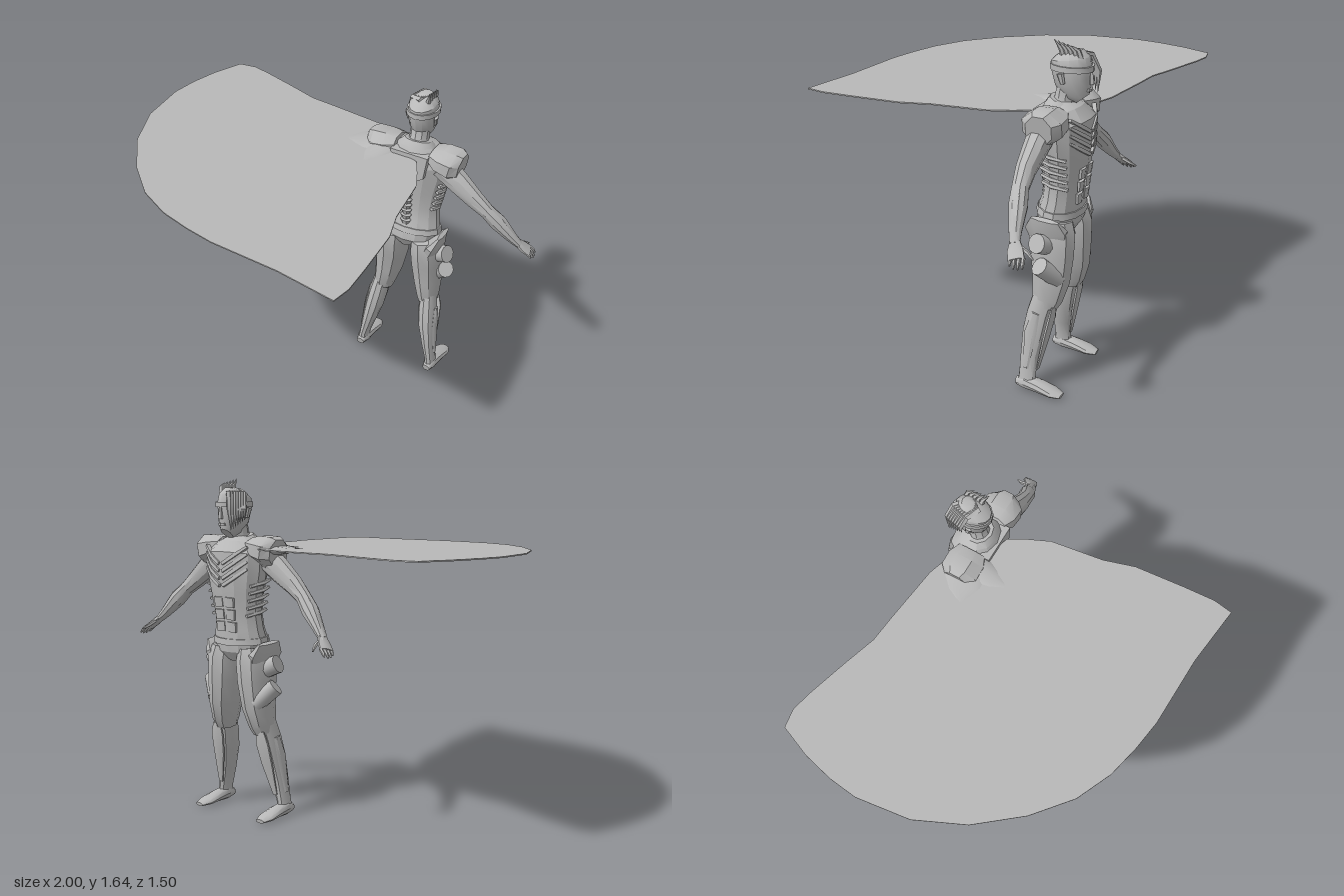
import * as THREE from 'three';
import { toCreasedNormals } from 'three/addons/utils/BufferGeometryUtils.js';

const Z = new THREE.Vector3(0, 0, 1), X = new THREE.Vector3(1, 0, 0);

// Closed skin over elliptical rings [x, y, z, a, b] set square to the path; b runs along ref, a across it.
function loft(rings, n = 10, ref = Z, crease = 0.6) {
  const c = rings.map(r => new THREE.Vector3(r[0], r[1], r[2]));
  const pos = [], idx = [], last = rings.length - 1;
  rings.forEach((r, i) => {
    const t = c[Math.min(i + 1, last)].clone().sub(c[Math.max(i - 1, 0)]).normalize();
    const u = ref.clone().addScaledVector(t, -ref.dot(t)).normalize();
    const w = u.clone().cross(t);
    for (let j = 0; j < n; j++) {
      const q = ((j + 0.5) / n) * Math.PI * 2;
      const p = c[i].clone().addScaledVector(w, r[3] * Math.cos(q)).addScaledVector(u, r[4] * Math.sin(q));
      pos.push(p.x, p.y, p.z);
    }
  });
  pos.push(...c[0].toArray(), ...c[last].toArray());
  const low = rings.length * n, high = low + 1;
  for (let j = 0; j < n; j++) {
    const k = (j + 1) % n;
    for (let i = 0; i < last; i++) {
      const a = i * n + j, b = i * n + k;
      idx.push(a, b, a + n, b, b + n, a + n);
    }
    idx.push(low, k, j, high, last * n + j, last * n + k);
  }
  const g = new THREE.BufferGeometry();
  g.setAttribute('position', new THREE.Float32BufferAttribute(pos, 3));
  g.setIndex(idx);
  return toCreasedNormals(g, crease);
}

export function createModel() {
  const model = new THREE.Group();
  const grey = new THREE.MeshStandardMaterial({ color: 0xb8b8b8 });
  const figure = new THREE.Group();
  figure.name = 'figure';
  figure.position.x = 0.36;
  model.add(figure);

  const add = (name, geo, parent = figure) => {
    const m = new THREE.Mesh(geo, grey);
    m.name = name;
    parent.add(m);
    return m;
  };
  const part = (name, rings, n, ref, crease) => add(name, loft(rings, n, ref, crease));
  // Same part on both sides of the body
  const pair = (name, rings, n, ref, crease) => {
    for (const [s, side] of [[1, 'left'], [-1, 'right']])
      part(side + name, rings.map(([x, ...r]) => [x * s, ...r]), n, ref, crease);
  };

  // Torso, belt and neck
  part('torso', [
    [0, 0.77, -0.46, 0.05, 0.07], [0, 0.82, -0.46, 0.14, 0.1], [0, 0.87, -0.465, 0.155, 0.1],
    [0, 0.93, -0.475, 0.143, 0.09], [0, 1.0, -0.48, 0.135, 0.088], [0, 1.1, -0.485, 0.15, 0.1],
    [0, 1.2, -0.485, 0.175, 0.11], [0, 1.28, -0.48, 0.18, 0.115], [0, 1.33, -0.46, 0.13, 0.09],
    [0, 1.37, -0.455, 0.06, 0.05]], 14, Z, 0.3);
  part('belt', [[0, 0.86, -0.465, 0.163, 0.107], [0, 0.89, -0.468, 0.158, 0.102]], 14);
  part('neck', [[0, 1.33, -0.455, 0.065, 0.06], [0, 1.38, -0.47, 0.048, 0.05], [0, 1.44, -0.48, 0.048, 0.05]], 10);

  // Spine and upper back plate
  for (let i = 0; i < 9; i++) {
    const y = 0.93 + i * 0.032, z = -0.392 + i * 0.002;
    part('vertebra', [[0, y - 0.014, z, 0.02, 0.02], [0, y + 0.008, z + 0.006, 0.03, 0.022], [0, y + 0.015, z, 0.02, 0.018]], 8);
  }
  const plate = new THREE.Shape([[-0.1, 1.34], [-0.085, 1.22], [-0.06, 1.205], [0.06, 1.205], [0.085, 1.22], [0.1, 1.34]]
    .map(p => new THREE.Vector2(...p)));
  add('backPlate', new THREE.ExtrudeGeometry(plate, { depth: 0.05, bevelEnabled: false })).position.z = -0.41;
  part('collar', [[0, 1.32, -0.455, 0.12, 0.09], [0, 1.355, -0.455, 0.095, 0.075], [0, 1.375, -0.46, 0.07, 0.06]], 10);

  // Chest chevrons, side ribs and stomach plates
  for (let i = 0; i < 4; i++) {
    const y = 1.17 + i * 0.035;
    pair('ChestBar', [[0.01, y - 0.03, -0.592, 0.011, 0.014], [0.07, y + 0.005, -0.583, 0.012, 0.014],
      [0.135, y + 0.05, -0.55, 0.008, 0.014]], 4);
  }
  for (let i = 0; i < 5; i++) {
    const y = 1.02 + i * 0.036, x = 0.133 + i * 0.007;
    pair('Rib', [[x - 0.012, y, -0.42, 0.009, 0.012], [x + 0.002, y - 0.01, -0.47, 0.011, 0.012],
      [x - 0.02, y - 0.025, -0.54, 0.008, 0.012]], 5, X);
  }
  for (let i = 0; i < 3; i++) {
    const y = 0.94 + i * 0.06;
    pair('StomachPlate', [[0.035, y - 0.024, -0.561 - i * 0.006, 0.03, 0.01], [0.037, y + 0.024, -0.563 - i * 0.007, 0.032, 0.012]], 6);
  }

  // Head, jaw, visor and ears
  part('head', [
    [0, 1.385, -0.55, 0.03, 0.035], [0, 1.41, -0.53, 0.05, 0.063], [0, 1.46, -0.505, 0.066, 0.085],
    [0, 1.52, -0.495, 0.073, 0.093], [0, 1.56, -0.49, 0.067, 0.088], [0, 1.585, -0.485, 0.045, 0.062],
    [0, 1.595, -0.48, 0.015, 0.02]], 14);
  part('visor', [[0, 1.51, -0.497, 0.079, 0.1], [0, 1.535, -0.497, 0.079, 0.1]], 14);
  part('nose', [[0, 1.455, -0.588, 0.013, 0.015], [0, 1.51, -0.584, 0.006, 0.01]], 5);
  part('mouth', [[0, 1.425, -0.578, 0.024, 0.014], [0, 1.437, -0.58, 0.022, 0.012]], 6);
  pair('Ear', [[0.072, 1.46, -0.485, 0.007, 0.012], [0.078, 1.505, -0.475, 0.008, 0.018]], 6);

  // Upright hair spikes leaning back
  for (let i = 0; i < 5; i++) {
    const z = -0.45 - i * 0.02;
    part('hairSpike', [[0.03, 1.565, z - 0.02, 0.014, 0.015], [0.04, 1.605, z - 0.01, 0.01, 0.011],
      [0.05, 1.645 - i * 0.005, z + 0.018, 0.001, 0.001]], 5);
  }
  // Swept hair falling over the right of the face
  for (let i = 0; i < 7; i++) {
    const k = i / 6, z = -0.585 + k * 0.08;
    part('hairLock', [[0.03 - k * 0.03, 1.585, -0.5 + k * 0.04, 0.014, 0.02], [-0.04 - k * 0.02, 1.575, z + 0.015, 0.012, 0.016],
      [-0.065 - k * 0.02, 1.5, z - 0.01, 0.01, 0.013], [-0.07 - k * 0.012, 1.4 + k * 0.05, z - 0.005, 0.001, 0.001]], 5);
  }

  // Shoulder armour, arms and hands
  pair('Pauldron', [[0.09, 1.33, -0.455, 0.04, 0.075], [0.14, 1.315, -0.455, 0.068, 0.1],
    [0.21, 1.3, -0.455, 0.08, 0.1], [0.245, 1.295, -0.455, 0.07, 0.065]], 8);
  pair('Arm', [[0.15, 1.28, -0.44, 0.065, 0.065], [0.24, 1.215, -0.44, 0.06, 0.055], [0.33, 1.15, -0.44, 0.048, 0.045],
    [0.4, 1.095, -0.45, 0.037, 0.038], [0.455, 1.04, -0.468, 0.042, 0.042], [0.53, 0.96, -0.493, 0.026, 0.028],
    [0.565, 0.925, -0.508, 0.018, 0.023]], 10);
  pair('ForearmGuard', [[0.4, 1.125, -0.45, 0.01, 0.018], [0.47, 1.058, -0.47, 0.02, 0.026], [0.545, 0.965, -0.497, 0.01, 0.018]], 6);
  pair('Palm', [[0.555, 0.935, -0.505, 0.018, 0.022], [0.582, 0.908, -0.52, 0.015, 0.035], [0.612, 0.882, -0.538, 0.01, 0.038]], 8);
  for (let i = 0; i < 4; i++) {
    const z = -0.508 - i * 0.019, d = 0.006 * Math.abs(i - 1.5);
    pair('Finger', [[0.6, 0.89, z, 0.009, 0.009], [0.622, 0.87, z - 0.006, 0.008, 0.008],
      [0.64 - d, 0.848 + d, z - 0.01, 0.004, 0.004]], 5);
  }
  pair('Thumb', [[0.565, 0.92, -0.53, 0.01, 0.01], [0.57, 0.9, -0.57, 0.009, 0.009], [0.585, 0.882, -0.6, 0.004, 0.004]], 5, X);

  // Thigh armour, hip flares and thigh canisters
  pair('Thigh', [[0.09, 0.83, -0.455, 0.075, 0.1], [0.097, 0.77, -0.46, 0.086, 0.113], [0.103, 0.67, -0.467, 0.084, 0.104],
    [0.115, 0.55, -0.468, 0.072, 0.092], [0.128, 0.46, -0.457, 0.058, 0.075], [0.133, 0.42, -0.45, 0.05, 0.058]], 10);
  pair('HipFlare', [[0.125, 0.75, -0.455, 0.045, 0.09], [0.15, 0.81, -0.455, 0.04, 0.105], [0.18, 0.865, -0.46, 0.012, 0.07]], 8);
  pair('UpperCanister', [[0.12, 0.72, -0.47, 0.045, 0.045], [0.222, 0.765, -0.442, 0.045, 0.045]], 12);
  pair('LowerCanister', [[0.135, 0.57, -0.51, 0.042, 0.045], [0.218, 0.655, -0.455, 0.042, 0.045]], 12);

  // Lower legs, shin plates and feet
  pair('LowerLeg', [[0.138, 0.48, -0.45, 0.042, 0.055], [0.15, 0.38, -0.425, 0.049, 0.058], [0.163, 0.29, -0.41, 0.048, 0.058],
    [0.185, 0.17, -0.397, 0.035, 0.046], [0.205, 0.075, -0.395, 0.026, 0.042], [0.209, 0.03, -0.395, 0.03, 0.047]], 10);
  pair('ShinPlate', [[0.15, 0.43, -0.5, 0.028, 0.007], [0.157, 0.37, -0.492, 0.042, 0.012], [0.168, 0.27, -0.472, 0.036, 0.012],
    [0.192, 0.11, -0.442, 0.014, 0.006]], 8);
  pair('CalfPlate', [[0.196, 0.4, -0.43, 0.008, 0.02], [0.207, 0.3, -0.41, 0.01, 0.03], [0.226, 0.12, -0.395, 0.006, 0.015]], 6);
  pair('Foot', [[0.208, 0.028, -0.345, 0.02, 0.022], [0.209, 0.036, -0.39, 0.036, 0.035], [0.21, 0.03, -0.46, 0.029, 0.04],
    [0.212, 0.019, -0.53, 0.018, 0.045], [0.214, 0.012, -0.575, 0.01, 0.026]], 10, X);

  // Wide flat cape, listed as x, z
  const outline = [[-0.89, -0.735], [-0.8, -0.75], [-0.7, -0.728], [-0.5, -0.67], [-0.34, -0.62], [-0.2, -0.607], [0.08, -0.575],
    [0.16, -0.55], [0.22, -0.4], [0.41, -0.35], [0.46, -0.26], [0.505, -0.16], [0.54, 0.1], [0.585, 0.25], [0.605, 0.5],
    [0.613, 0.65], [0.597, 0.745], [0.3, 0.705], [-0.05, 0.69], [-0.2, 0.665], [-0.36, 0.625], [-0.53, 0.545],
    [-0.7, 0.4], [-0.86, 0.2], [-0.965, -0.03], [-1, -0.29], [-0.985, -0.43], [-0.95, -0.58]];
  const cape = new THREE.ExtrudeGeometry(new THREE.Shape(outline.map(([x, z]) => new THREE.Vector2(x, -z))),
    { depth: 0.006, bevelEnabled: false });
  cape.rotateX(-Math.PI / 2).translate(0, 1.312, 0);
  add('cape', cape, model);
  // Gathered cloth where the cape meets the shoulder
  add('capeGather', loft([[0.02, 1.315, -0.37, 0.003, 0.02], [0.08, 1.313, -0.39, 0.009, 0.08],
    [0.14, 1.31, -0.42, 0.026, 0.1], [0.2, 1.308, -0.43, 0.035, 0.1]], 12), model);
  add('capeFold', loft([[0.19, 1.315, -0.23, 0.003, 0.02], [0.19, 1.311, -0.29, 0.01, 0.05],
    [0.2, 1.306, -0.35, 0.028, 0.07], [0.21, 1.306, -0.4, 0.035, 0.08]], 12, X), model);
  return model;
}
